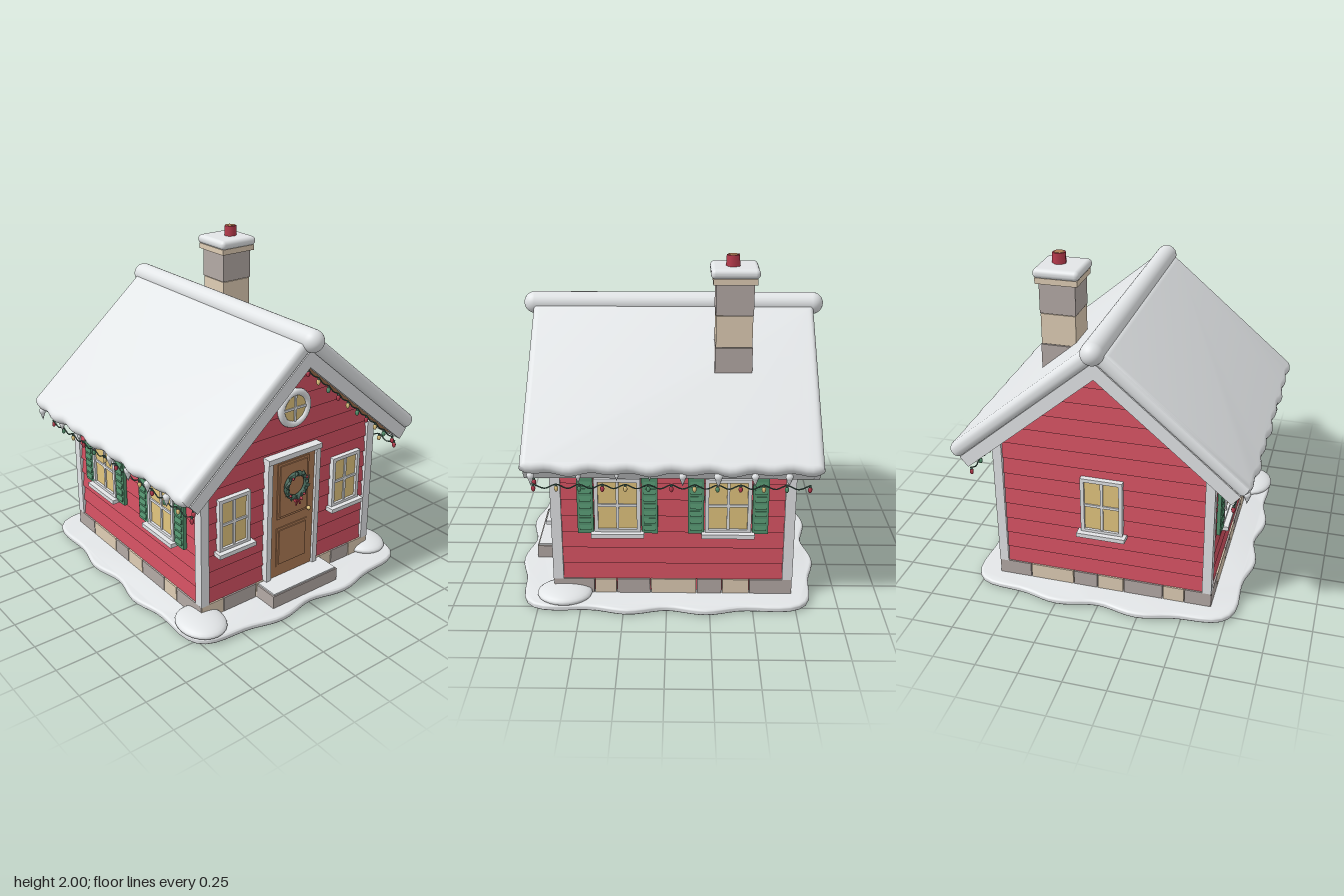
import * as THREE from 'three';
import { toCreasedNormals } from 'three/addons/utils/BufferGeometryUtils.js';
import { RoundedBoxGeometry } from 'three/addons/geometries/RoundedBoxGeometry.js';

const mat = (name, color) => Object.assign(new THREE.MeshStandardMaterial({ color }), { name });
const M = {
  snow: mat('snow white', 0xeef1f3), trim: mat('trim white', 0xe6e8ea),
  red: mat('siding red', 0xd05060), wood: mat('door brown', 0xb07c55),
  glass: mat('warm glass', 0xe3c67f), green: mat('shutter green', 0x559570),
  grey: mat('stone grey', 0xb4aaa6), beige: mat('stone beige', 0xdfcdb5),
  pine: mat('pine green', 0x47685a), berry: mat('berry red', 0xb83a4c),
};

const CZ = -0.035;            // depth centre of the house
const HW = 0.62, HD = 0.665;  // half width and half depth of the wall core
const BASE = 0.13, ROW = 0.103;
const SLOPE = 0.85, ANGLE = Math.atan(SLOPE), SOFFIT = 1.485, ROOF = 1.575;

function add(parent, name, geo, material, x = 0, y = 0, z = 0) {
  const m = new THREE.Mesh(geo, material);
  m.name = name;
  m.position.set(x, y, z);
  parent.add(m);
  return m;
}
const box = (p, name, m, w, h, d, x, y, z) => add(p, name, new THREE.BoxGeometry(w, h, d), m, x, y, z);
function group(parent, name, x = 0, y = 0, z = 0, ry = 0) {
  const g = new THREE.Group();
  g.name = name;
  g.position.set(x, y, z);
  g.rotation.y = ry;
  parent.add(g);
  return g;
}
const poly = pts => new THREE.Shape(pts.map(p => new THREE.Vector2(p[0], p[1])));
const extrude = (shape, depth) => new THREE.ExtrudeGeometry(shape, { depth, bevelEnabled: false });
// Soft slab: outline with rounded rims
const softSlab = (shape, depth, bevel) => toCreasedNormals(new THREE.ExtrudeGeometry(shape, {
  depth: depth - 2 * bevel, bevelThickness: bevel, bevelSize: bevel, bevelOffset: -bevel, bevelSegments: 5,
}), 0.8);

// Lapped siding: each board leans out at its foot
function siding(parent, rows, halfAt) {
  for (let i = 0; i < rows; i++) {
    const y0 = BASE + i * ROW, y1 = Math.min(y0 + ROW, SOFFIT);
    const w0 = halfAt(y0), w1 = halfAt(y1);
    const geo = new THREE.BoxGeometry(2, y1 - y0, 0.03);
    const p = geo.attributes.position;
    for (let k = 0; k < p.count; k++) {
      const top = p.getY(k) > 0;
      p.setX(k, p.getX(k) * (top ? w1 : w0));
      if (top && p.getZ(k) > 0) p.setZ(k, 0.001);
    }
    geo.computeVertexNormals();
    add(parent, 'sidingBoard', geo, M.red, 0, (y0 + y1) / 2, 0.01);
  }
}

// Row of foundation stones of uneven length
function stones(parent, length, seed) {
  const widths = [0.16, 0.24, 0.13, 0.2, 0.27, 0.15];
  for (let x = -length / 2, i = seed; x < length / 2 - 0.01; i++) {
    let w = Math.min(widths[i % 6], length / 2 - x);
    if (length / 2 - x - w < 0.08) w = length / 2 - x;
    box(parent, 'foundationStone', i % 2 ? M.grey : M.beige, w - 0.006, 0.11, 0.05, x + w / 2, 0.076, 0.01);
    x += w;
  }
}

// Window facing +z, origin at its centre
function windowUnit(parent, x, y, w, h, shutters) {
  const g = group(parent, 'window', x, y, 0.02), t = 0.022;
  box(g, 'pane', M.glass, w - t, h - t, 0.016, 0, 0, 0.006);
  for (const s of [-1, 1]) {
    box(g, 'frameSide', M.trim, t, h, 0.035, s * (w - t) / 2, 0, 0.012);
    box(g, 'frameRail', M.trim, w, t, 0.035, 0, s * (h - t) / 2, 0.012);
    if (!shutters) continue;
    box(g, 'shutter', M.green, 0.092, 0.35, 0.022, s * (w / 2 + 0.052), 0, 0.014);
    for (let i = 0; i < 7; i++)
      box(g, 'shutterSlat', M.green, 0.066, 0.03, 0.008, s * (w / 2 + 0.052), -0.138 + i * 0.046, 0.027).rotation.x = -0.2;
  }
  box(g, 'mullion', M.trim, 0.016, h - t, 0.02, 0, 0, 0.012);
  box(g, 'mullionBar', M.trim, w - t, 0.016, 0.02, 0, 0, 0.012);
  box(g, 'sill', M.trim, w + 0.04, 0.026, 0.07, 0, -h / 2 - 0.008, 0.025);
}

// Wire sagging between points, with a bulb hanging at each
function lights(parent, points, sag) {
  const path = [];
  points.forEach((p, i) => {
    path.push(p);
    if (i < points.length - 1) path.push(p.clone().lerp(points[i + 1], 0.5).add(new THREE.Vector3(0, -sag, 0)));
    const bulb = add(parent, 'bulb', new THREE.SphereGeometry(0.012, 8, 6), [M.berry, M.glass, M.green][i % 3], p.x, p.y - 0.026, p.z);
    bulb.scale.y = 1.6;
    add(parent, 'bulbSocket', new THREE.CylinderGeometry(0.007, 0.007, 0.016, 6), M.pine, p.x, p.y - 0.006, p.z);
  });
  add(parent, 'lightWire', new THREE.TubeGeometry(new THREE.CatmullRomCurve3(path), path.length * 4, 0.004, 5), M.pine);
}

export function createModel() {
  const model = new THREE.Group();
  model.name = 'snowyCottage';

  // Snowy ground with a wavy rim, and two drifts
  const rim = [];
  for (let i = 0; i < 120; i++) {
    const a = i / 120 * Math.PI * 2, c = Math.cos(a), s = Math.sin(a);
    const r = (1 - 0.025 * Math.cos(12 * a)) / Math.pow(Math.pow(Math.abs(c) / 0.82, 6) + Math.pow(Math.abs(s) / 0.885, 6), 1 / 6);
    rim.push([r * c, r * s]);
  }
  add(model, 'groundSnow', softSlab(poly(rim), 0.04, 0.018), M.snow, 0, 0.018).rotation.x = -Math.PI / 2;
  for (const [x, z, r] of [[-0.67, 0.68, 0.14], [0.675, 0.6, 0.135]])
    add(model, 'snowDrift', new THREE.SphereGeometry(1, 24, 14), M.snow, x, 0.055, z).scale.set(r, 0.043, r * 1.2);

  // Wall core with gables
  const eave = SOFFIT - SLOPE * HW;
  const core = poly([[-HW, BASE - 0.1], [HW, BASE - 0.1], [HW, eave], [0, SOFFIT], [-HW, eave]]);
  add(model, 'wallCore', extrude(core, HD * 2), M.red, 0, 0, CZ - HD);

  // Four walls: siding and foundation
  const gableHalf = y => Math.max(0.001, Math.min(HW, (SOFFIT - y) / SLOPE));
  const front = group(model, 'frontWall', 0, 0, CZ + HD);
  const back = group(model, 'backWall', 0, 0, CZ - HD, Math.PI);
  const left = group(model, 'leftWall', HW, 0, CZ, Math.PI / 2);
  const right = group(model, 'rightWall', -HW, 0, CZ, -Math.PI / 2);
  [front, back].forEach((w, i) => { siding(w, 14, gableHalf); stones(w, HW * 2 + 0.07, i * 3); });
  [left, right].forEach((w, i) => { siding(w, 8, () => HD); stones(w, HD * 2 + 0.07, 1 + i * 2); });
  for (const sx of [-1, 1]) for (const sz of [-1, 1])
    box(model, 'cornerTrim', M.trim, 0.055, 0.82, 0.06, sx * 0.627, BASE + 0.41, CZ + sz * 0.672);

  // Windows
  for (const s of [-1, 1]) {
    windowUnit(front, s * 0.425, 0.62, 0.22, 0.33, false);
    windowUnit(left, s * 0.317, 0.617, 0.265, 0.34, true);
    windowUnit(right, s * 0.317, 0.617, 0.265, 0.34, true);
  }
  windowUnit(back, 0, 0.62, 0.25, 0.36, false);

  // Round gable window
  const round = group(front, 'roundWindow', 0, 1.2, 0.025);
  add(round, 'roundPane', new THREE.CylinderGeometry(0.09, 0.09, 0.02, 24), M.glass, 0, 0, 0.008).rotation.x = Math.PI / 2;
  add(round, 'roundFrame', new THREE.TorusGeometry(0.097, 0.021, 10, 32), M.trim, 0, 0, 0.012);
  box(round, 'roundMullion', M.trim, 0.014, 0.17, 0.02, 0, 0, 0.014);
  box(round, 'roundMullionBar', M.trim, 0.17, 0.014, 0.02, 0, 0, 0.014);

  // Door with two raised panels
  const door = group(front, 'door', 0, 0, 0.025);
  box(door, 'doorLeaf', M.wood, 0.33, 0.78, 0.025, 0, 0.52, 0.006);
  for (const [y, h] of [[0.7, 0.36], [0.33, 0.26]]) {
    box(door, 'panelMoulding', M.wood, 0.235, h, 0.008, 0, y, 0.02);
    box(door, 'panelField', M.wood, 0.205, h - 0.03, 0.008, 0, y, 0.026);
  }
  for (const s of [-1, 1]) box(door, 'doorJamb', M.trim, 0.034, 0.78, 0.045, s * 0.181, 0.52, 0.012);
  box(door, 'doorHead', M.trim, 0.4, 0.032, 0.055, 0, 0.92, 0.016);
  add(door, 'doorKnob', new THREE.SphereGeometry(0.013, 10, 8), M.glass, 0.122, 0.525, 0.03);

  // Door step with a thin layer of snow
  box(model, 'doorStep', M.grey, 0.5, 0.105, 0.16, 0, 0.068, 0.74);
  box(model, 'stepSnow', M.snow, 0.48, 0.012, 0.145, 0, 0.124, 0.74);

  // Wreath of slanted leaves with berries and a bow
  const wreath = group(door, 'wreath', 0, 0.725, 0.05);
  add(wreath, 'wreathRing', new THREE.TorusGeometry(0.075, 0.015, 8, 28), M.pine);
  for (let i = 0; i < 20; i++) {
    const a = i / 20 * Math.PI * 2, r = i % 2 ? 0.085 : 0.07;
    const leaf = add(wreath, 'wreathLeaf', new THREE.ConeGeometry(0.013, 0.05, 5), M.pine, r * Math.cos(a), r * Math.sin(a), 0.01);
    leaf.rotation.z = a + (i % 2 ? -0.7 : 0.5);
    if (i % 5 === 2) add(wreath, 'wreathBerry', new THREE.SphereGeometry(0.008, 8, 6), M.berry, 0.075 * Math.cos(a), 0.075 * Math.sin(a), 0.022);
  }
  for (const s of [-1, 1]) {
    const loop = add(wreath, 'bowLoop', new THREE.ConeGeometry(0.013, 0.026, 6), M.berry, s * 0.013, -0.085, 0.02);
    loop.rotation.z = s * Math.PI / 2;
    box(wreath, 'bowTail', M.berry, 0.009, 0.034, 0.006, s * 0.01, -0.103, 0.02).rotation.z = s * 0.4;
  }

  // Roof deck, barge boards and eave boards
  const chevron = (top, ex, bottom, bx) => poly([[0, top], [ex, top - SLOPE * ex], [bx, bottom - SLOPE * bx],
    [0, bottom], [-bx, bottom - SLOPE * bx], [-ex, top - SLOPE * ex]]);
  add(model, 'roofDeck', extrude(chevron(ROOF, 0.79, SOFFIT, 0.745), 1.6), M.wood, 0, 0, CZ - 0.8);
  for (const z of [0.755, -0.845])
    add(model, 'bargeBoard', extrude(chevron(ROOF + 0.003, 0.808, SOFFIT - 0.006, 0.76), 0.032), M.trim, 0, 0, z);

  // Each roof side: eave board, thick snow with a wavy edge, icicles
  for (const ry of [0, Math.PI]) {
    const side = group(model, 'roofSide', 0, ROOF, -0.03, ry);
    const tilt = group(side, 'roofSlope');
    tilt.rotation.z = -ANGLE;
    box(tilt, 'eaveBoard', M.trim, 0.022, 0.074, 1.62, 1.046, -0.036, 0);
    const edge = [[0, -0.83]];
    for (let i = 0; i <= 48; i++) {
      const t = i / 48, corner = Math.pow(Math.abs(2 * t - 1), 14) * 0.02;
      edge.push([1.082 + 0.009 * Math.sin(t * 47) + 0.005 * Math.sin(t * 23 + 1) - corner, -0.83 + 1.66 * t]);
    }
    edge.push([0, 0.83]);
    add(tilt, 'roofSnow', softSlab(poly(edge), 0.09, 0.038), M.snow, 0, 0.052).rotation.x = Math.PI / 2;
    [0.77, 0.51, 0.3, 0.12, -0.06, -0.255, -0.455, -0.64].forEach((z, i) => {
      const len = [0.06, 0.045, 0.03, 0.03, 0.06, 0.07, 0.06, 0.06][i];
      const ice = group(side, 'icicle', 0.836, 0.885 - ROOF, z);
      add(ice, 'icicleTip', new THREE.ConeGeometry(len * 0.36, len, 8), M.snow, 0, -len / 2, 0).rotation.x = Math.PI;
      add(ice, 'icicleRoot', new THREE.SphereGeometry(len * 0.36, 8, 6), M.snow);
    });
  }
  add(model, 'ridgeSnow', new THREE.CapsuleGeometry(0.065, 1.65, 10, 24), M.snow, 0, 1.635, -0.03).rotation.x = Math.PI / 2;

  // Light strings along both eaves and the front gable
  for (const s of [-1, 1]) {
    const eaveRun = [], gableRun = [];
    for (let i = 0; i <= 12; i++) eaveRun.push(new THREE.Vector3(s * 0.765, 0.8, 0.74 - i * 0.128));
    for (let i = 0; i <= 9; i++) {
      const x = 0.03 + i * 0.08;
      gableRun.push(new THREE.Vector3(s * x, SOFFIT - 0.015 - SLOPE * x, 0.735));
    }
    lights(group(model, 'eaveLights'), eaveRun, 0.025);
    lights(group(model, 'gableLights'), gableRun, 0.012);
  }

  // Chimney: stone courses, cap, snow and pot
  const chimney = group(model, 'chimney', 0.315, 0, -0.375);
  [[1.15, 1.485, M.grey], [1.485, 1.67, M.beige], [1.67, 1.85, M.grey]].forEach(([a, b, m], i) =>
    box(chimney, 'chimneyCourse', m, 0.21 - (i % 2) * 0.006, b - a - 0.004, 0.212 - (i % 2) * 0.006, 0, (a + b) / 2, 0));
  box(chimney, 'chimneyCap', M.beige, 0.245, 0.034, 0.245, 0, 1.865, 0);
  add(chimney, 'chimneySnow', new RoundedBoxGeometry(0.268, 0.056, 0.272, 4, 0.026), M.snow, 0, 1.908, 0);
  add(chimney, 'chimneyPot', new THREE.CylinderGeometry(0.038, 0.042, 0.08, 7), M.berry, 0.02, 1.958, 0.01);
  add(chimney, 'potOpening', new THREE.CylinderGeometry(0.03, 0.03, 0.004, 7), M.wood, 0.02, 1.998, 0.01);

  return model;
}
